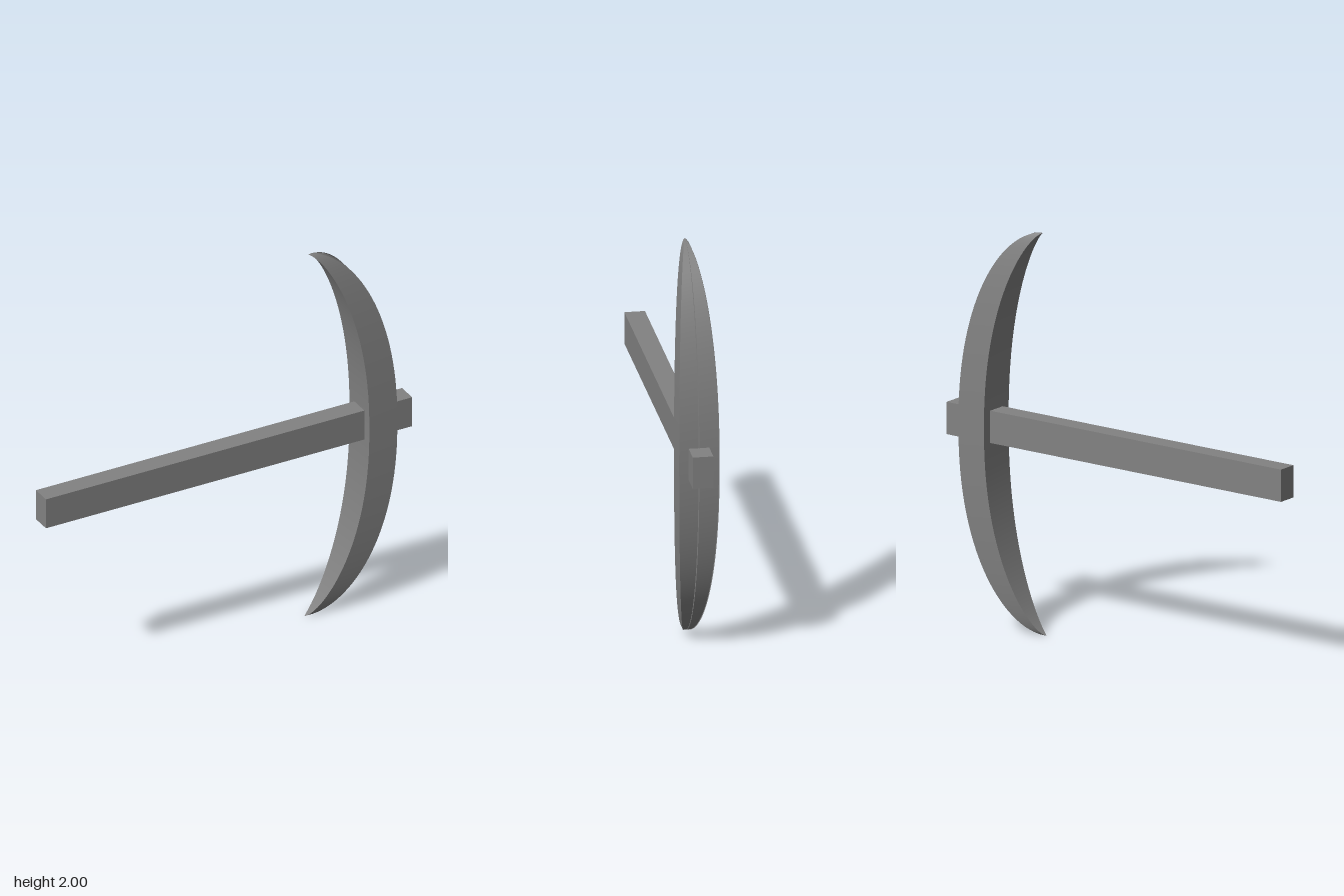
import * as THREE from 'three';
import { mergeGeometries } from 'three/addons/utils/BufferGeometryUtils.js';

const ROWS = 64;
const CORNERS = 9;

// Cross-section of the head at t (-1 bottom tip, 1 top tip), as [x, z] corners
function section(t) {
  const k = Math.max(0, 1 - Math.pow(Math.abs(t), 2.2));
  const swell = Math.pow(k, 0.53);
  const tip = 0.45 + 0.01 * t;
  const inner = tip + (0.74 - tip) * Math.pow(k, 0.73);
  const outer = tip + (0.893 - tip) * swell;
  const w = 0.098 * swell;
  const floor = outer - 0.09 * (outer - inner);
  return [
    [inner, -w], [outer, -w], [floor, -w * 0.985],
    [floor, -w * 0.02], [outer, 0], [floor, w * 0.02],
    [floor, w * 0.985], [outer, w], [inner, w],
  ];
}

// One lengthwise strip, smooth along its length and sharp at its edges
function strip(side) {
  const pos = [], index = [];
  for (let i = 0; i <= ROWS; i++) {
    const t = Math.sin((i / ROWS - 0.5) * Math.PI);
    const s = section(t);
    for (const [x, z] of [s[side], s[(side + 1) % CORNERS]]) pos.push(x, 1 + t * 0.998, z);
    if (i < ROWS) {
      const a = i * 2;
      index.push(a, a + 2, a + 1, a + 1, a + 2, a + 3);
    }
  }
  const g = new THREE.BufferGeometry();
  g.setAttribute('position', new THREE.Float32BufferAttribute(pos, 3));
  g.setIndex(index);
  g.computeVertexNormals();
  return g;
}

export function createModel() {
  const group = new THREE.Group();
  group.name = 'pickaxe';
  const material = new THREE.MeshStandardMaterial({ color: 0x828282 });

  // Square handle running through the head
  const handle = new THREE.Mesh(new THREE.BoxGeometry(2, 0.16, 0.1), material);
  handle.name = 'handle';
  handle.position.y = 1;

  // Curved head, its outer face edged by thin rims with a thin rib down the middle
  const strips = Array.from({ length: CORNERS }, (_, side) => strip(side));
  const head = new THREE.Mesh(mergeGeometries(strips), material);
  head.name = 'head';

  group.add(handle, head);
  return group;
}
